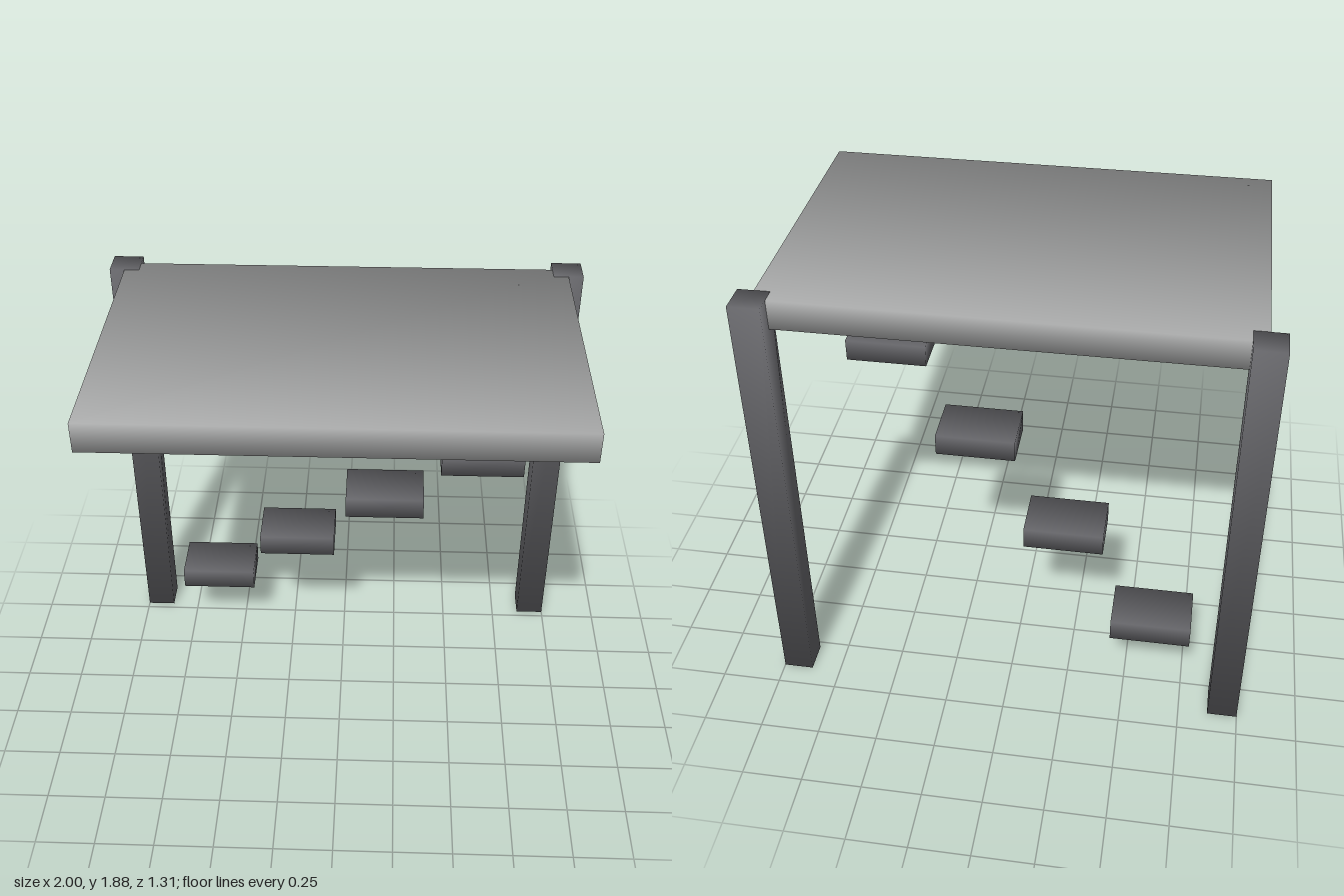
import * as THREE from 'three';
import { mergeVertices } from 'three/addons/utils/BufferGeometryUtils.js';

const roofMaterial = new THREE.MeshStandardMaterial({ color: 0xaeafaf });
const darkMaterial = new THREE.MeshStandardMaterial({ color: 0x67676b });

// Box with eight shared corners, its normals smoothed across the edges.
function softBox(name, material, size, position) {
  let geometry = new THREE.BoxGeometry(...size);
  geometry.deleteAttribute('uv');
  geometry.deleteAttribute('normal');
  geometry = mergeVertices(geometry);
  const corners = geometry.attributes.position;
  const normals = [];
  for (let i = 0; i < corners.count; i++) {
    const n = new THREE.Vector3(
      Math.sign(corners.getX(i)),
      Math.sign(corners.getY(i)),
      Math.sign(corners.getZ(i))
    ).normalize();
    normals.push(n.x, n.y, n.z);
  }
  geometry.setAttribute('normal', new THREE.Float32BufferAttribute(normals, 3));
  const mesh = new THREE.Mesh(geometry, material);
  mesh.name = name;
  mesh.position.set(...position);
  return mesh;
}

export function createModel() {
  const group = new THREE.Group();
  group.name = 'shelter';

  // Pale roof slab, its back edge resting halfway into the posts
  group.add(softBox('roof', roofMaterial, [1.875, 0.122, 1.248], [0, 1.814, 0.03]));

  // Two dark rear posts
  for (const [name, side] of [['leftPost', 1], ['rightPost', -1]]) {
    group.add(softBox(name, darkMaterial, [0.125, 1.876, 0.125], [side * 0.9375, 0.938, -0.593]));
  }

  // Dark floating steps climbing diagonally toward the left front
  for (let i = 0; i < 4; i++) {
    group.add(softBox(`step${i + 1}`, darkMaterial, [0.337, 0.094, 0.225],
      [-0.602 + i * 0.3945, 0.339 + i * 0.337, -0.443 + i * 0.15]));
  }

  return group;
}
